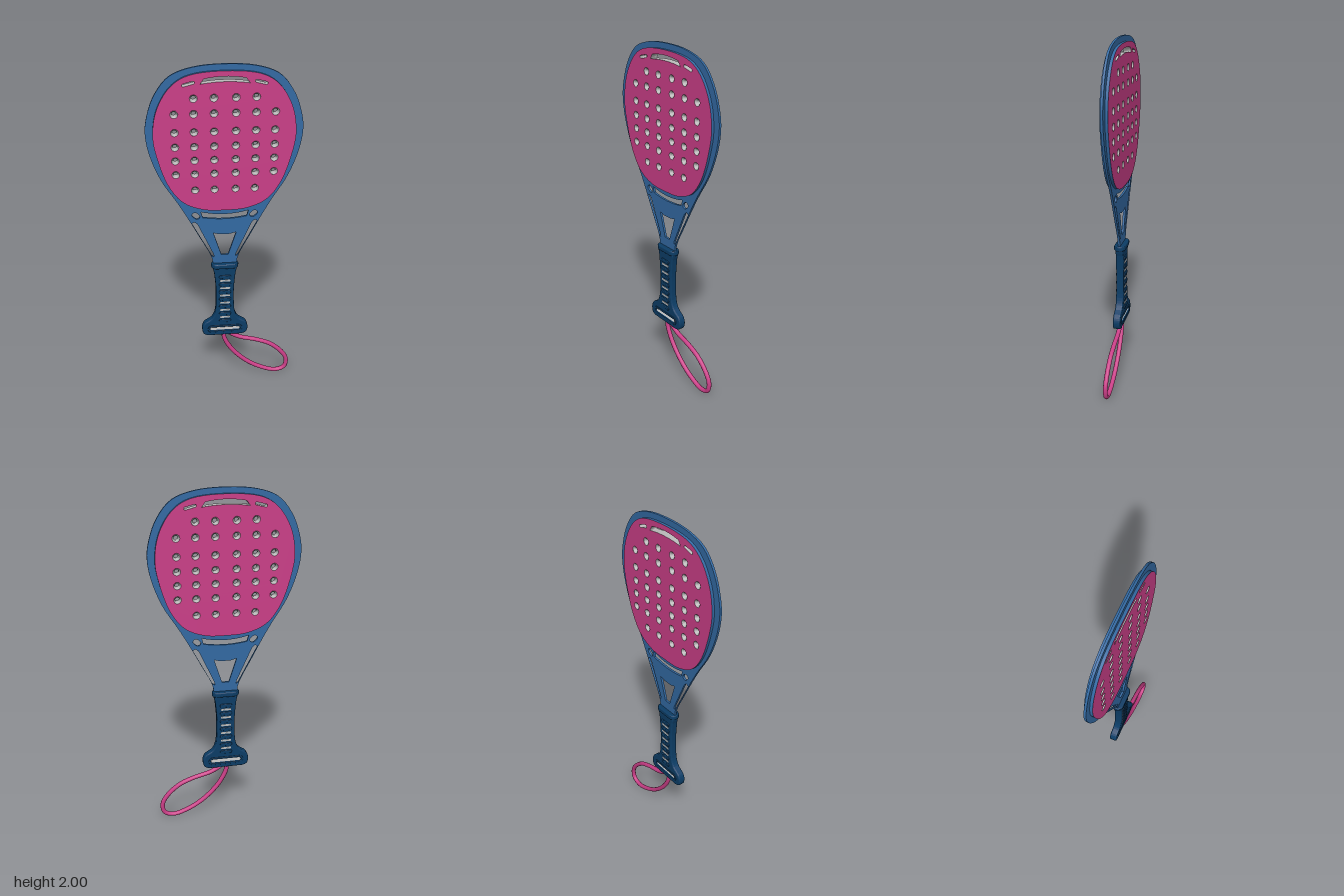
import * as THREE from 'three';

const mat = (name, color, side = THREE.FrontSide) => {
  const m = new THREE.MeshStandardMaterial({ color, side });
  m.name = name;
  return m;
};
const V = (x, y) => new THREE.Vector2(x, y);

// Smooth symmetric outline from its right half, listed bottom to top
function outline(half, n = 100) {
  const right = half.map(([x, y]) => new THREE.Vector3(x, y, 0));
  const left = half.filter(([x]) => x > 0).reverse().map(([x, y]) => new THREE.Vector3(-x, y, 0));
  const closed = half[0][0] === 0;
  return new THREE.CatmullRomCurve3([...right, ...left], closed, 'centripetal').getPoints(n).map((p) => V(p.x, p.y));
}

// Round-ended slot
function pill(cx, cy, halfLen, r, angle = 0, seg = 8) {
  const pts = [];
  for (let end = 0; end < 2; end++) {
    for (let i = 0; i <= seg; i++) {
      const a = -Math.PI / 2 + Math.PI * (i / seg + end);
      pts.push(V((end ? -1 : 1) * (halfLen - r) + r * Math.cos(a), r * Math.sin(a))
        .rotateAround(V(0, 0), angle).add(V(cx, cy)));
    }
  }
  return pts;
}

function shapeOf(points, holes = []) {
  const s = new THREE.Shape(points);
  s.holes = holes.map((h) => new THREE.Path(h));
  return s;
}

// Straight wall running through the depth along a loop
function wall(loop, z) {
  const pos = [], idx = [], n = loop.length;
  loop.forEach((p) => pos.push(p.x, p.y, -z, p.x, p.y, z));
  for (let i = 0; i < n; i++) {
    const a = 2 * i, b = 2 * ((i + 1) % n);
    idx.push(a, b, b + 1, a, b + 1, a + 1);
  }
  const g = new THREE.BufferGeometry();
  g.setAttribute('position', new THREE.Float32BufferAttribute(pos, 3));
  g.setIndex(idx);
  g.computeVertexNormals();
  return g;
}

// Extrusion centred on z = 0, bevelled inside its outline
function slab(shape, depth, bevel = 0) {
  const g = new THREE.ExtrudeGeometry(shape, {
    depth: depth - 2 * bevel, bevelEnabled: bevel > 0, bevelThickness: bevel,
    bevelSize: bevel, bevelOffset: -bevel, bevelSegments: 3, curveSegments: 12,
  });
  return g.translate(0, 0, -depth / 2 + bevel);
}

export function createModel() {
  const root = new THREE.Group();
  root.name = 'paddleRacket';
  const pink = mat('pink', 0xcb3f88);
  const blue = mat('frameBlue', 0x336aa3, THREE.DoubleSide);
  const navy = mat('gripNavy', 0x0c3d66);
  const grey = mat('liningGrey', 0xbcbcbc, THREE.DoubleSide);
  const add = (name, geo, material, parent = root) => {
    const m = new THREE.Mesh(geo, material);
    m.name = name;
    parent.add(m);
    return m;
  };

  // Outlines of the frame and the hitting pad
  const frameLine = outline([[0.068, 0.80], [0.075, 0.865], [0.148, 1.013], [0.217, 1.145], [0.265, 1.23],
    [0.35, 1.37], [0.407, 1.525], [0.423, 1.64], [0.413, 1.72], [0.37, 1.84], [0.29, 1.94], [0.175, 1.985], [0, 2]]);
  const padLine = outline([[0, 1.18], [0.12, 1.188], [0.23, 1.235], [0.31, 1.34], [0.37, 1.525],
    [0.383, 1.63], [0.36, 1.765], [0.29, 1.885], [0.2, 1.945], [0, 1.968]]);

  // Thin frame plate with throat openings
  const crescent = [];
  for (let i = 0; i <= 12; i++) { const x = -0.125 + i * 0.25 / 12; crescent.push(V(x, 1.118 + 0.8 * x * x)); }
  for (let i = 12; i >= 0; i--) { const x = -0.135 + i * 0.27 / 12; crescent.push(V(x, 1.148 + x * x)); }
  const throat = [V(-0.066, 1.03), V(-0.02, 0.885), V(0.02, 0.885), V(0.066, 1.03), V(0.03, 1.02), V(-0.03, 1.02)];
  const openings = [padLine, crescent, throat];
  for (const s of [-1, 1]) {
    openings.push(pill(s * 0.163, 1.143, 0.024, 0.016, s * 0.7));
    openings.push([V(s * 0.188, 1.095), V(s * 0.172, 1.105), V(s * 0.155, 1.09), V(s * 0.065, 0.89),
      V(s * 0.062, 0.872), V(s * 0.075, 0.878)]);
  }
  add('framePlate', slab(shapeOf(frameLine, openings), 0.013), blue);

  // Hitting pad: pink faces, blue rim, grey linings in the holes
  const head = new THREE.Group();
  head.name = 'hittingPad';
  root.add(head);
  const padZ = 0.022, holeR = 0.021;
  const topSlot = [];
  for (let i = 0; i <= 12; i++) { const x = -0.13 + i * 0.26 / 12; topSlot.push(V(x, 1.912 - 0.6 * x * x)); }
  for (let i = 12; i >= 0; i--) { const x = -0.11 + i * 0.22 / 12; topSlot.push(V(x, 1.94 - 0.9 * x * x)); }
  const slots = [topSlot, pill(-0.19, 1.905, 0.034, 0.008, 0.25), pill(0.19, 1.905, 0.034, 0.008, -0.25)];
  const centres = [];
  [1.828, 1.745, 1.645, 1.563, 1.485, 1.405, 1.31].forEach((y, row) => {
    const xs = row === 0 || row === 6 ? [0.058, 0.165] : [0.058, 0.165, 0.268];
    xs.forEach((x) => centres.push(V(x, y), V(-x, y)));
  });
  const rounds = centres.map((c) => pill(c.x, c.y, holeR, holeR));
  const face = new THREE.ShapeGeometry(shapeOf(padLine, [...slots, ...rounds]));
  add('padFront', face, pink, head).position.z = padZ;
  const back = add('padBack', face, pink, head);
  back.position.z = -padZ;
  back.rotation.y = Math.PI;
  add('padRim', wall(padLine.slice(0, -1), padZ), blue, head);
  slots.forEach((s) => add('slotLining', wall(s, padZ), grey, head));
  const eyelet = new THREE.LatheGeometry(
    [V(holeR, -padZ), V(0.012, -0.012), V(0.012, 0.012), V(holeR, padZ)], 18).rotateX(Math.PI / 2);
  centres.forEach((c) => add('holeEyelet', eyelet, grey, head).position.set(c.x, c.y, 0));

  // Grip with flared butt and cord slot
  const grip = new THREE.Group();
  grip.name = 'grip';
  root.add(grip);
  const gripLine = outline([[0.105, 0.325], [0.13, 0.338], [0.139, 0.375], [0.125, 0.412], [0.08, 0.445],
    [0.06, 0.49], [0.053, 0.58], [0.054, 0.67], [0.062, 0.76], [0.066, 0.81]], 70);
  add('gripBody', slab(shapeOf(gripLine, [pill(0, 0.373, 0.092, 0.011)]), 0.044, 0.008), navy, grip);
  add('cordSlotLining', wall(pill(0, 0.373, 0.091, 0.010), 0.018), grey, grip);
  add('cordSlotRim', slab(shapeOf(pill(0, 0.373, 0.106, 0.025), [pill(0, 0.373, 0.093, 0.012)]), 0.05, 0.003), navy, grip);

  // Rounded collar at the top of the grip
  const collar = slab(shapeOf(pill(0, 0, 0.08, 0.033)), 0.03, 0.007).rotateX(Math.PI / 2);
  add('gripCollar', collar, navy, grip).position.y = 0.815;

  // Ladder of ridges and pale strips on both faces
  const ridge = slab(shapeOf(pill(0, 0, 0.036, 0.011)), 0.054, 0.004);
  const strip = slab(shapeOf(pill(0, 0, 0.031, 0.006)), 0.006);
  for (let i = 0; i < 7; i++) {
    const y = 0.742 - i * 0.0515;
    add('gripRidge', ridge, navy, grip).position.y = y;
    if (i === 6) continue;
    for (const s of [-1, 1]) add('gripStrip', strip, grey, grip).position.set(0, y - 0.026, s * 0.0205);
  }

  // Wrist cord loop
  const cord = [[0.01, 0.345], [-0.006, 0.31], [0.037, 0.21], [0.127, 0.11], [0.222, 0.047], [0.325, 0.014],
    [0.38, 0.035], [0.391, 0.093], [0.362, 0.15], [0.286, 0.22], [0.2, 0.258], [0.09, 0.29], [0.03, 0.325]];
  const path = new THREE.CatmullRomCurve3(cord.map(([x, y]) => new THREE.Vector3(x, y, 0)), true, 'centripetal');
  add('wristCord', new THREE.TubeGeometry(path, 90, 0.0135, 10, true), pink);

  return root;
}
